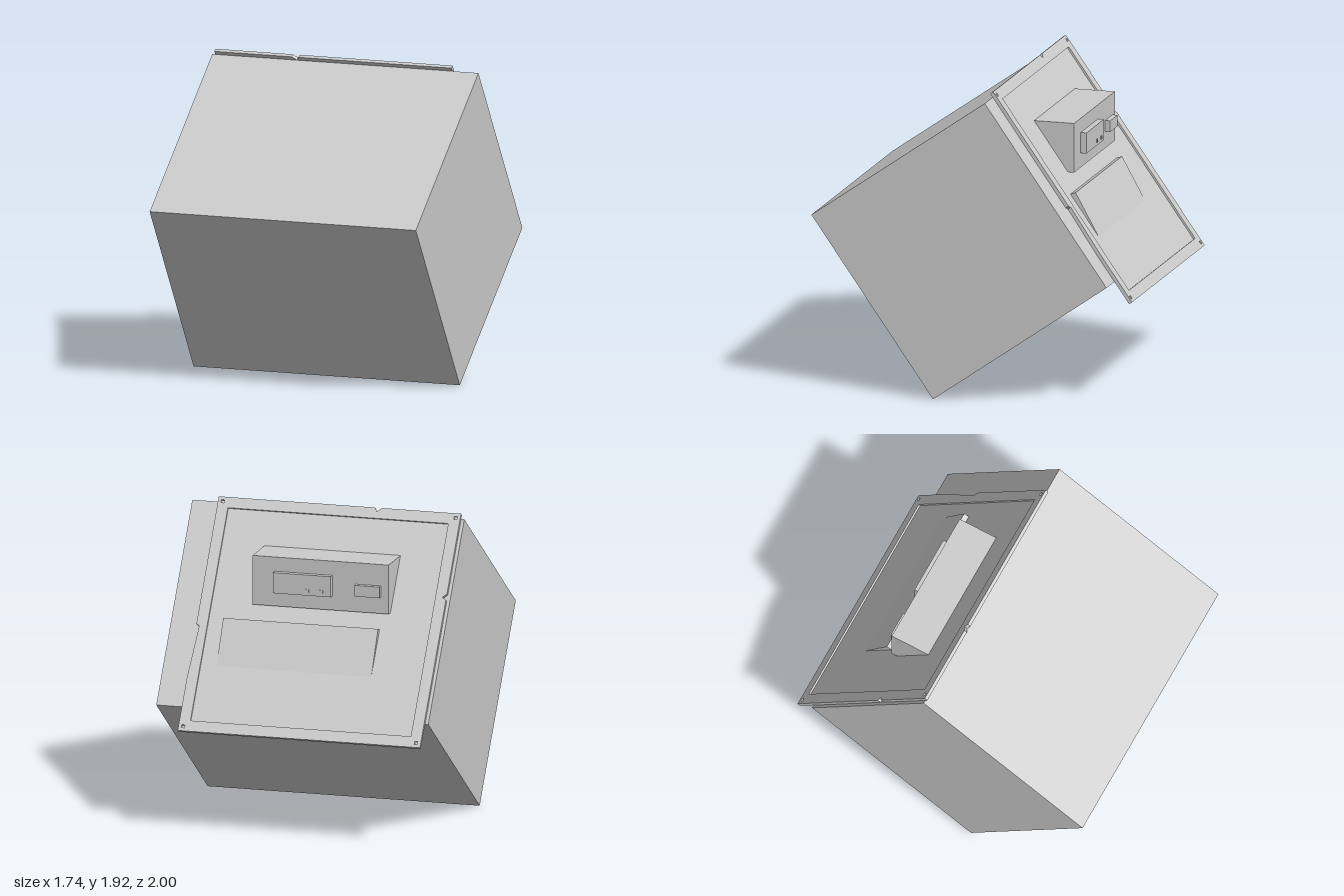
import * as THREE from 'three';

const TILT = 0.612;   // lean of the crate about x
const FACE = 0.6785;  // half depth of the crate; its back face is at local z = -FACE

const grey = new THREE.MeshStandardMaterial({ color: 0xcccccc });
grey.name = 'grey';

function add(parent, name, geometry) {
  const mesh = new THREE.Mesh(geometry, grey);
  mesh.name = name;
  parent.add(mesh);
  return mesh;
}

// Box given by its limits on each axis
function boxBetween(x0, x1, y0, y1, z0, z1) {
  return new THREE.BoxGeometry(x1 - x0, y1 - y0, z1 - z0)
    .translate((x0 + x1) / 2, (y0 + y1) / 2, (z0 + z1) / 2);
}

const shapeOf = (pts) => new THREE.Shape(pts.map(([a, b]) => new THREE.Vector2(a, b)));

const rectPath = (x0, x1, y0, y1) => new THREE.Path(
  [[x0, y0], [x0, y1], [x1, y1], [x1, y0]].map(([a, b]) => new THREE.Vector2(a, b)));

// Prism with a (z, y) section running from x0 to x1
function prismX(section, x0, x1) {
  return new THREE.ExtrudeGeometry(shapeOf(section), { depth: x1 - x0, bevelEnabled: false })
    .rotateY(-Math.PI / 2).translate(x1, 0, 0);
}

export function createModel() {
  const model = new THREE.Group();
  model.name = 'tiltedCrate';

  const tilted = new THREE.Group();
  tilted.name = 'tiltedBody';
  tilted.position.set(0, 0.945, 0.055);
  tilted.rotation.x = TILT;
  model.add(tilted);

  // Main crate
  add(tilted, 'crate', new THREE.BoxGeometry(1.74, 2 * FACE, 2 * FACE));

  // Back panel outline with chipped edges
  const [x0, x1, y0, y1] = [-0.85, 0.70, -0.843, 0.705];
  const outline = [
    [x0, y0], [x1, y0],
    [x1, -0.49], [0.68, -0.15], [x1, -0.135],
    [x1, y1],
    [-0.30, y1], [-0.315, 0.68], [-0.345, y1],
    [x0, y1],
    [x0, 0.175], [-0.825, 0.15], [x0, 0.135],
  ];
  const depth = 0.012, base = 0.010;
  add(tilted, 'backPanel', new THREE.ExtrudeGeometry(shapeOf(outline), { depth: base, bevelEnabled: false })
    .translate(0, 0, -FACE - base));

  // Raised rim around the panel, with a square pit in each corner
  const rim = shapeOf(outline);
  rim.holes.push(rectPath(x0 + 0.07, x1 - 0.07, y0 + 0.07, y1 - 0.07));
  for (const px of [x0 + 0.03, x1 - 0.03])
    for (const py of [y0 + 0.03, y1 - 0.03])
      rim.holes.push(rectPath(px - 0.01, px + 0.01, py - 0.01, py + 0.01));
  add(tilted, 'panelRim', new THREE.ExtrudeGeometry(rim, { depth, bevelEnabled: false })
    .translate(0, 0, -FACE - base - depth));

  // Wedge flap, proud at the top and flush at the bottom
  const floor = -FACE - base;
  add(tilted, 'flap', prismX([
    [floor + 0.004, -0.085], [floor + 0.004, -0.40], [floor, -0.40], [-0.722, -0.095],
  ], -0.46, 0.53));

  // Upright control housing
  add(model, 'controlHousing', prismX([
    [-0.26, 1.675], [-0.53, 1.675], [-0.53, 1.365], [-0.48, 1.365],
  ], -0.51, 0.36));

  // Details on the housing face
  add(model, 'displayBlock', boxBetween(-0.15, 0.22, 1.455, 1.585, -0.567, -0.525));
  add(model, 'switchBlock', boxBetween(-0.46, -0.30, 1.47, 1.54, -0.563, -0.525));
  for (const bx of [0.0, -0.09])
    add(model, 'button', boxBetween(bx - 0.01, bx + 0.01, 1.475, 1.495, -0.573, -0.56));

  return model;
}
